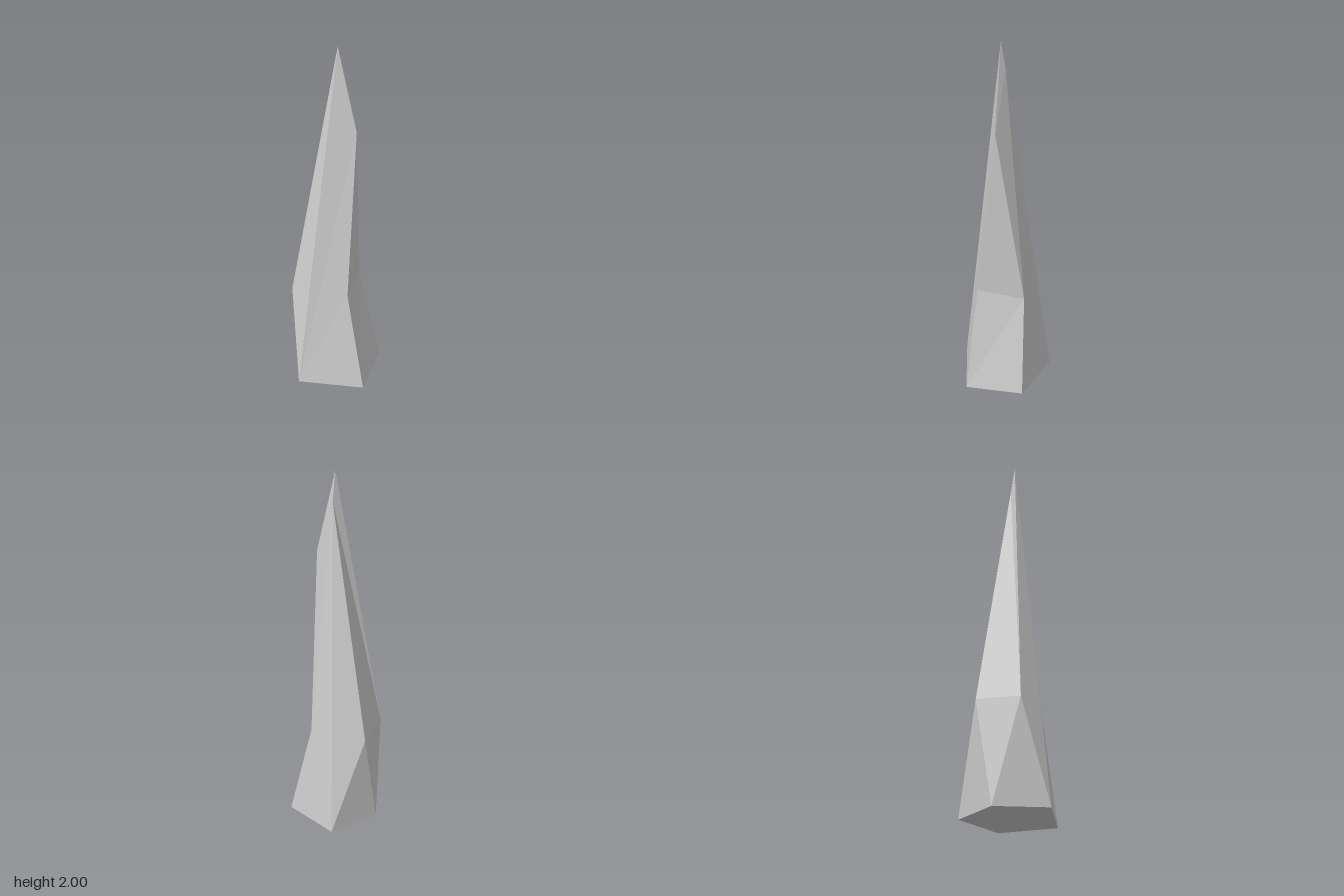
import * as THREE from 'three';

// Corners of the faceted crystal
const corners = {
  // base ring
  A: [-0.10, 0, 0.245], B: [0.24, 0, 0.133], C: [0.20, 0, -0.175],
  D: [-0.10, 0, -0.247], E: [-0.24, 0, 0],
  // middle ring
  P: [-0.19, 0.55, 0.13], Q: [-0.22, 0.56, -0.10],
  R: [0.08, 0.555, -0.145], S: [0.125, 0.59, 0.10],
  // shoulder, back chip and tip
  W: [0.12, 1.55, 0], U: [0.017, 1.85, -0.022], T: [0.017, 2, 0.003],
};

// Facets, each a convex loop of corners seen counter-clockwise from outside
const facets = [
  'ABS', 'ASW', 'AWT',        // front
  'ATP', 'APE',               // front right
  'EPQ', 'PTU', 'PUQ',        // right
  'DEQ', 'DQU',               // back right
  'CDR', 'RDU', 'RUW', 'WUT', // back
  'BCR', 'BRS', 'SRW',        // left
  'AEDCB',                    // underside
];

export function createModel() {
  const positions = [];
  for (const loop of facets) {
    for (let i = 1; i < loop.length - 1; i++) {
      for (const key of [loop[0], loop[i], loop[i + 1]]) positions.push(...corners[key]);
    }
  }
  const geometry = new THREE.BufferGeometry();
  geometry.setAttribute('position', new THREE.Float32BufferAttribute(positions, 3));
  geometry.computeVertexNormals();

  const crystal = new THREE.Mesh(
    geometry,
    new THREE.MeshStandardMaterial({ color: 0xcccccc, flatShading: true }),
  );
  crystal.name = 'crystalShard';

  const group = new THREE.Group();
  group.name = 'crystal';
  group.add(crystal);
  return group;
}
